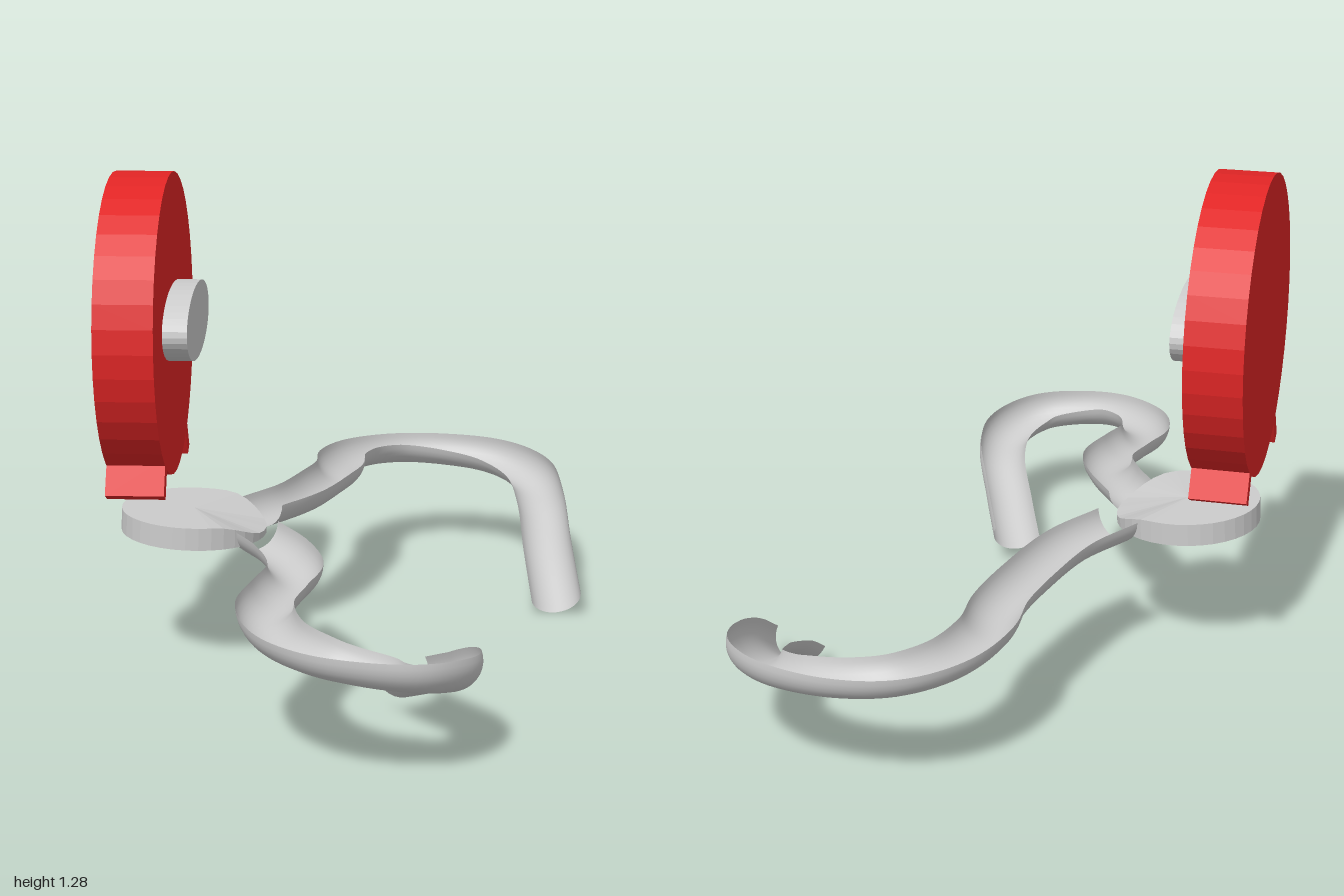
import * as THREE from 'three';

const grey = new THREE.MeshStandardMaterial({ color: 0xcccccc, flatShading: true });
const greySmooth = new THREE.MeshStandardMaterial({ color: 0xcccccc, side: THREE.DoubleSide });
const red = new THREE.MeshStandardMaterial({ color: 0xe02525, flatShading: true });

function part(parent, name, geometry, material) {
  const mesh = new THREE.Mesh(geometry, material);
  mesh.name = name;
  parent.add(mesh);
  return mesh;
}

// Half-pipe channel, open at the top, swept along its rim centre line.
// It rolls gradually by `roll` radians over the second half of the path.
function channel(points, radius, roll) {
  const curve = new THREE.CatmullRomCurve3(points.map(p => new THREE.Vector3(...p)));
  const rows = 100, cols = 16, pos = [], index = [];
  const up = new THREE.Vector3(0, 1, 0);
  for (let i = 0; i <= rows; i++) {
    const u = i / rows;
    const p = curve.getPointAt(u), t = curve.getTangentAt(u);
    const side = t.clone().cross(up).normalize();
    const normal = side.clone().cross(t);
    const turn = roll * THREE.MathUtils.smoothstep(u, 0.45, 0.75);
    side.applyAxisAngle(t, turn);
    normal.applyAxisAngle(t, turn);
    for (let j = 0; j <= cols; j++) {
      const a = Math.PI * j / cols;
      const v = p.clone()
        .addScaledVector(side, radius * Math.cos(a))
        .addScaledVector(normal, -radius * Math.sin(a));
      pos.push(v.x, v.y, v.z);
      if (i < rows && j < cols) {
        const k = i * (cols + 1) + j, n = k + cols + 1;
        index.push(k, k + 1, n, k + 1, n + 1, n);
      }
    }
  }
  const g = new THREE.BufferGeometry();
  g.setAttribute('position', new THREE.Float32BufferAttribute(pos, 3));
  g.setIndex(index);
  g.computeVertexNormals();
  return g;
}

// Flat round hub whose top rim dips into a notch on the +x side.
function hubGeometry(radius, height) {
  const g = new THREE.CylinderGeometry(radius, radius, height, 36);
  const p = g.attributes.position;
  for (let i = 0; i < p.count; i++) {
    const x = p.getX(i), z = p.getZ(i);
    if (p.getY(i) > 0 && Math.hypot(x, z) > radius / 2) {
      const a = Math.abs(Math.atan2(z, x));
      p.setY(i, p.getY(i) - 0.042 * (1 - THREE.MathUtils.smoothstep(a, 0.2, 1.2)));
    }
  }
  return g;
}

export function createModel() {
  const group = new THREE.Group();

  // Upright red disc facing +x
  const head = new THREE.Group();
  head.name = 'head';
  head.position.set(-0.528, 0.895, 0.08);
  group.add(head);
  part(head, 'disc', new THREE.CylinderGeometry(0.385, 0.385, 0.147, 40), red).rotation.z = -Math.PI / 2;

  // Two short radial feet under the disc
  for (const s of [-1, 1]) {
    const foot = part(head, 'foot', new THREE.BoxGeometry(0.147, 0.1, 0.036), red);
    foot.position.set(0, -0.35, s * 0.215);
    foot.rotation.x = -s * 0.5;
  }

  // Oval boss on the face of the disc
  const boss = part(head, 'ovalBoss', new THREE.CylinderGeometry(1, 1, 0.062, 40), grey);
  boss.rotation.z = -Math.PI / 2;
  boss.scale.set(0.095, 1, 0.23);
  boss.position.set(0.104, 0.01, 0);

  // Hub joining the arms
  const hub = part(group, 'hub', hubGeometry(0.188, 0.058), grey);
  hub.position.set(-0.412, 0.378, 0.077);
  hub.rotation.z = -0.04;

  // Curved arms
  part(group, 'backArm', channel([
    [-0.25, 0.39, -0.05], [-0.16, 0.385, -0.2], [-0.1, 0.375, -0.4], [-0.07, 0.365, -0.55],
    [-0.07, 0.36, -0.68], [-0.02, 0.35, -0.82], [0.08, 0.34, -0.91], [0.21, 0.33, -0.932],
    [0.37, 0.315, -0.89], [0.47, 0.29, -0.79], [0.503, 0.25, -0.65], [0.52, 0.165, -0.46],
    [0.543, 0.06, -0.285]], 0.069, 0.35), greySmooth);
  part(group, 'frontArm', channel([
    [-0.25, 0.385, 0.15], [-0.165, 0.38, 0.29], [-0.122, 0.37, 0.42], [-0.15, 0.365, 0.56],
    [-0.174, 0.357, 0.68], [-0.13, 0.345, 0.82], [-0.03, 0.335, 0.91], [0.08, 0.32, 0.932],
    [0.19, 0.3, 0.91], [0.262, 0.27, 0.82], [0.262, 0.24, 0.72], [0.2, 0.165, 0.56],
    [0.14, 0.1, 0.42]], 0.069, -0.35), greySmooth);

  return group;
}
